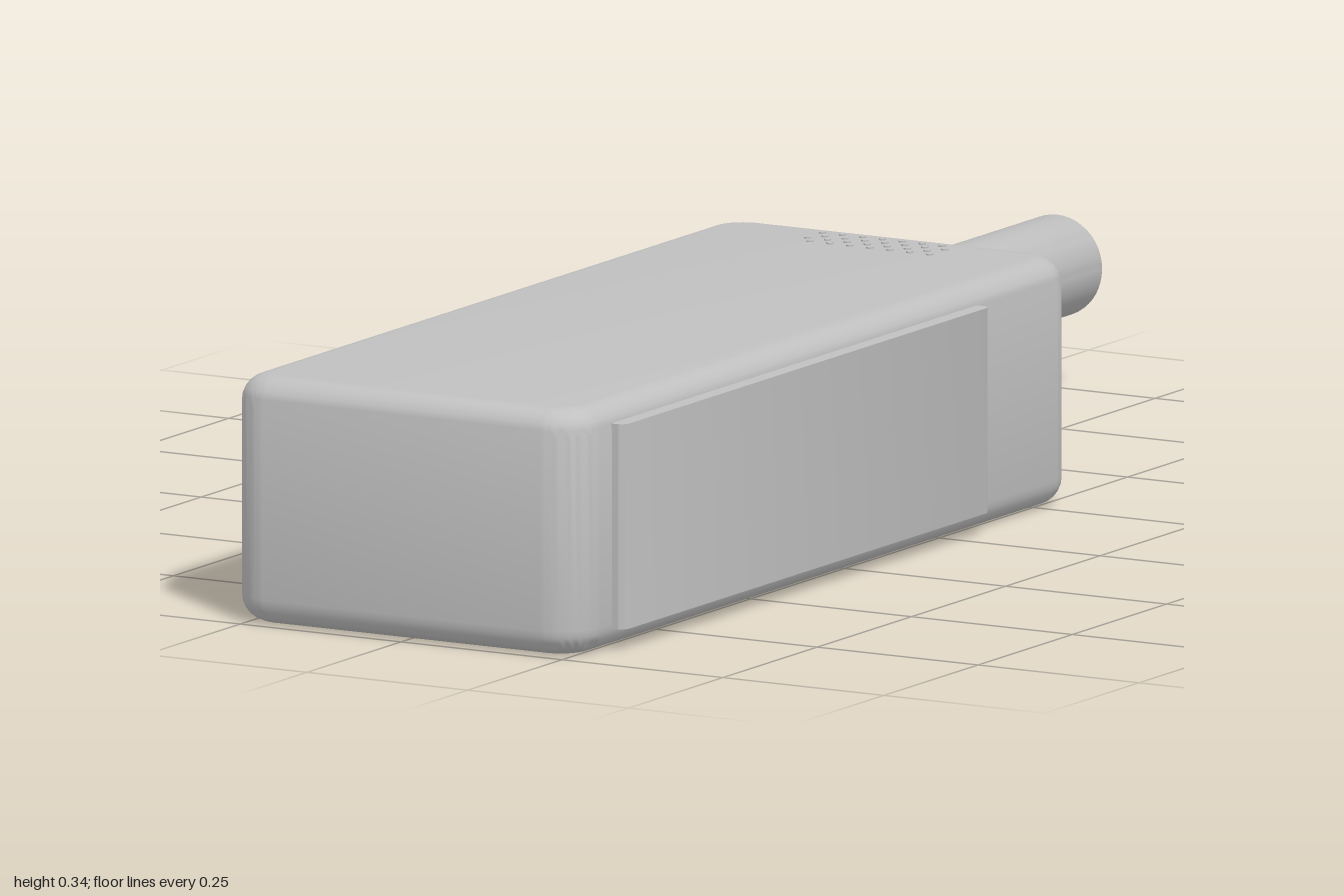
import * as THREE from 'three';
import { toCreasedNormals } from 'three/addons/utils/BufferGeometryUtils.js';

// Outline of a rounded rectangle, centred on the origin
function roundedRect(w, d, r) {
  const x = w / 2, y = d / 2;
  const s = new THREE.Shape();
  s.absarc(x - r, y - r, r, 0, Math.PI / 2);
  s.absarc(-x + r, y - r, r, Math.PI / 2, Math.PI);
  s.absarc(-x + r, -y + r, r, Math.PI, Math.PI * 1.5);
  s.absarc(x - r, -y + r, r, Math.PI * 1.5, Math.PI * 2);
  s.closePath();
  return s;
}

// Upright slab from y0 to y1 with rounded corners and softened rims
function slab(w, d, r, y0, y1, bevel) {
  const g = new THREE.ExtrudeGeometry(roundedRect(w - 2 * bevel, d - 2 * bevel, r - bevel), {
    depth: y1 - y0 - 2 * bevel,
    bevelEnabled: bevel > 0,
    bevelSize: bevel,
    bevelThickness: bevel,
    bevelSegments: 6,
    curveSegments: 8,
  });
  g.rotateX(-Math.PI / 2);
  g.translate(0, y0 + bevel, 0);
  return toCreasedNormals(g, 0.6);
}

// Round rod running backwards from z0 to z1, with a rounded far rim
function rod(radius, z0, z1, bevel) {
  const len = z0 - z1;
  const pts = [new THREE.Vector2(radius, 0)];
  for (let i = 0; i <= 5; i++) {
    const a = (i / 5) * Math.PI / 2;
    pts.push(new THREE.Vector2(radius - bevel + bevel * Math.cos(a), len - bevel + bevel * Math.sin(a)));
  }
  pts.push(new THREE.Vector2(0, len));
  const g = new THREE.LatheGeometry(pts, 48);
  g.rotateX(-Math.PI / 2);
  g.translate(-0.145, 0.17, z0);
  return toCreasedNormals(g, 0.6);
}

export function createModel() {
  const model = new THREE.Group();
  const grey = new THREE.MeshStandardMaterial({ color: 0xc0c0c0 });
  grey.name = 'light grey';

  const add = (name, geometry, parent = model) => {
    const mesh = new THREE.Mesh(geometry, grey);
    mesh.name = name;
    parent.add(mesh);
    return mesh;
  };

  // Main case
  add('body', slab(0.55, 1.33, 0.065, 0, 0.336, 0.036)).position.z = 0.335;

  // Grip panels standing slightly proud of both sides
  for (const side of [-1, 1]) {
    const panel = add(side > 0 ? 'leftGrip' : 'rightGrip', slab(0.04, 0.97, 0.012, 0.03, 0.31, 0));
    panel.position.set(side * 0.275, 0, 0.425);
  }

  // Antenna with its collar
  add('antennaCollar', rod(0.087, -0.31, -0.4, 0.012));
  add('antenna', rod(0.069, -0.38, -1, 0.015));

  // Staggered rows of tiny speaker studs near the back of the top
  const speaker = new THREE.Group();
  speaker.name = 'speakerStuds';
  model.add(speaker);
  const stud = new THREE.CylinderGeometry(0.005, 0.005, 0.004, 10);
  for (let row = 0; row < 4; row++) {
    for (let i = 0; i < 7; i++) {
      const x = -0.095 + i * 0.031 + (row % 2) * 0.0155;
      add('stud', stud, speaker).position.set(x, 0.336, -0.28 + row * 0.02);
    }
  }
  return model;
}
